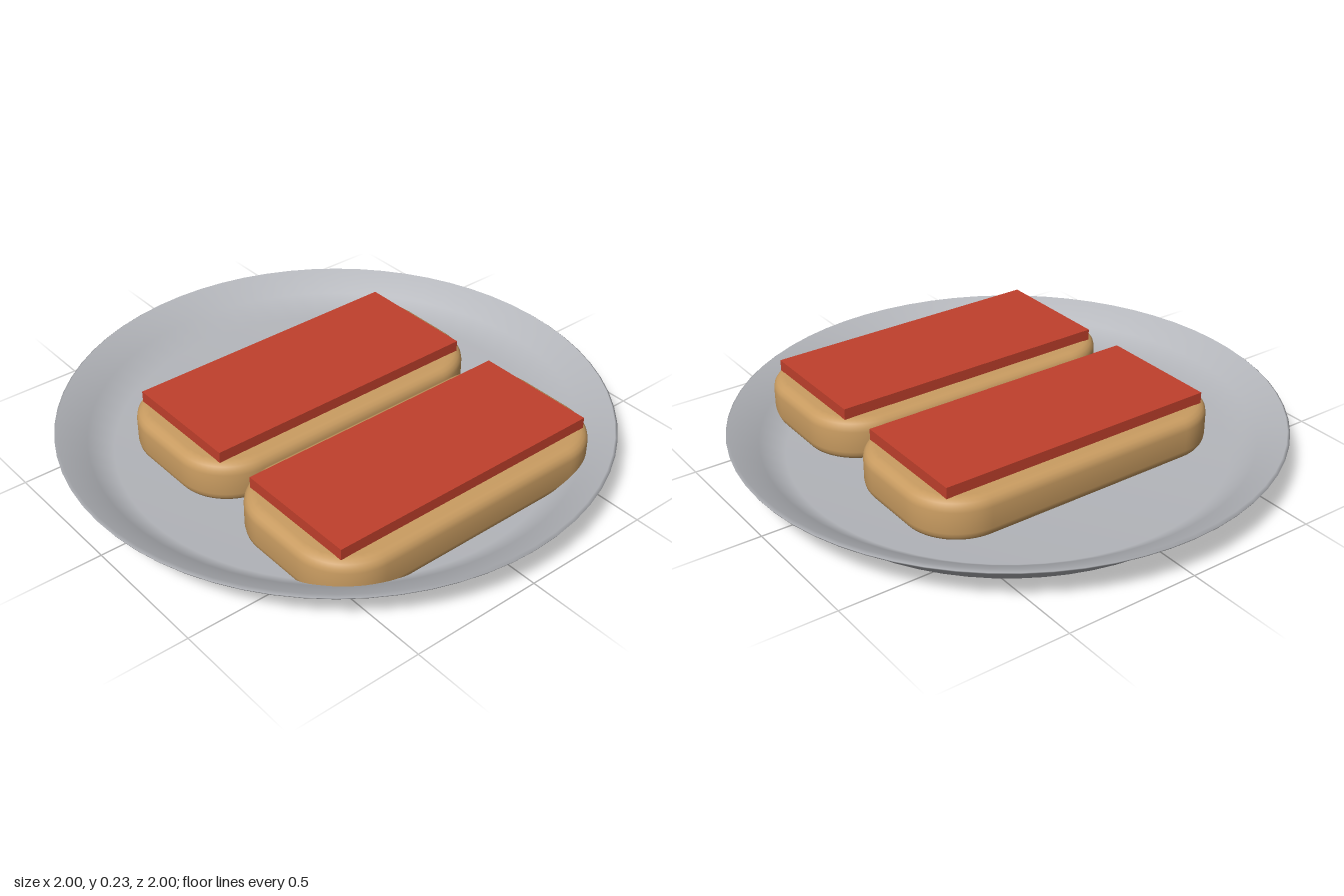
import * as THREE from 'three';
import { toCreasedNormals } from 'three/addons/utils/BufferGeometryUtils.js';

const material = (name, color) => {
  const m = new THREE.MeshStandardMaterial({ color });
  m.name = name;
  return m;
};

// Flat rounded rectangle centred on the origin
function roundedRect(w, d, r) {
  const s = new THREE.Shape();
  const x = w / 2, y = d / 2;
  s.absarc(x - r, y - r, r, 0, Math.PI / 2);
  s.absarc(-x + r, y - r, r, Math.PI / 2, Math.PI);
  s.absarc(-x + r, -y + r, r, Math.PI, Math.PI * 1.5);
  s.absarc(x - r, -y + r, r, Math.PI * 1.5, Math.PI * 2);
  s.closePath();
  return s;
}

export function createModel() {
  const group = new THREE.Group();
  const grey = material('plate grey', 0xb4b6bb);
  const tan = material('bread tan', 0xc99c61);
  const red = material('topping red', 0xc0402c);

  const add = (name, geometry, mat, parent, y = 0) => {
    const mesh = new THREE.Mesh(geometry, mat);
    mesh.name = name;
    mesh.position.y = y;
    parent.add(mesh);
  };

  // Shallow plate: underside, flared wall, thin rim, inner wall and floor
  const profile = [
    [0, 0], [0.825, 0], [0.9, 0.083], [0.995, 0.137], [1, 0.145],
    [0.99, 0.153], [0.89, 0.095], [0.8, 0.035], [0, 0.035],
  ].map(([r, y]) => new THREE.Vector2(r, y));
  add('plate', new THREE.LatheGeometry(profile, 64), grey, group);

  // Soft-edged bread slice, from y = 0.03 to 0.19
  const bevel = 0.04, height = 0.16;
  const bread = new THREE.ExtrudeGeometry(
    roundedRect(1.24 - 2 * bevel, 0.615 - 2 * bevel, 0.165),
    {
      depth: height - 2 * bevel, bevelEnabled: true, bevelSize: bevel,
      bevelThickness: bevel, bevelSegments: 4, curveSegments: 8,
    });
  bread.rotateX(-Math.PI / 2);
  const breadGeometry = toCreasedNormals(bread, 0.6);
  const toppingGeometry = new THREE.BoxGeometry(1.09, 0.042, 0.468);

  // Two open sandwiches side by side
  [['back', -0.185], ['front', 0.452]].forEach(([side, z]) => {
    const sandwich = new THREE.Group();
    sandwich.name = side + 'Sandwich';
    sandwich.position.z = z;
    add(side + 'Bread', breadGeometry, tan, sandwich, 0.03 + bevel);
    add(side + 'Topping', toppingGeometry, red, sandwich, 0.21);
    group.add(sandwich);
  });
  return group;
}
